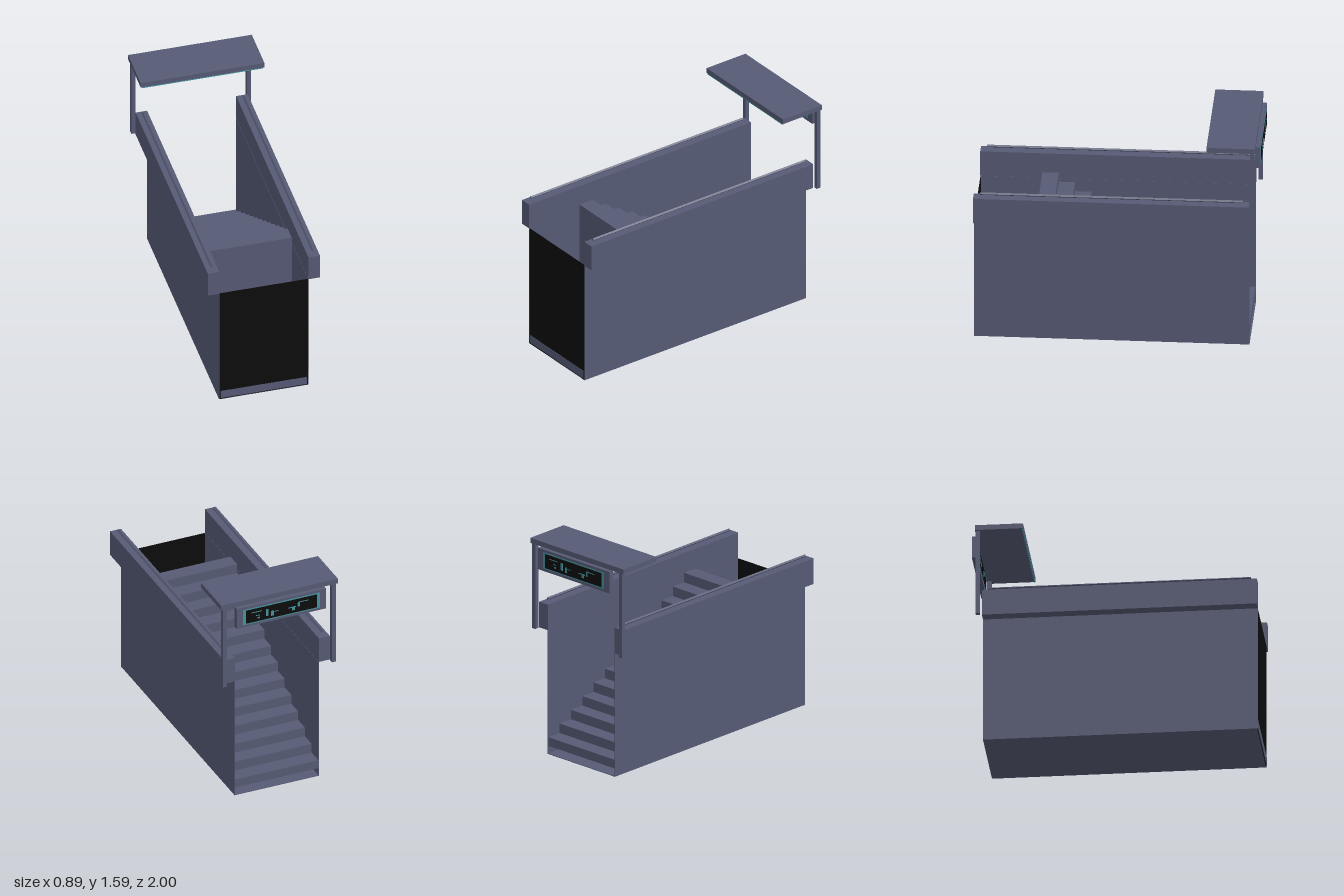
import * as THREE from 'three';

const grey = new THREE.MeshStandardMaterial({ name: 'slateGrey', color: 0x565a74, side: THREE.DoubleSide });
const black = new THREE.MeshStandardMaterial({ name: 'black', color: 0x0c0c0c, side: THREE.DoubleSide });
const teal = new THREE.MeshStandardMaterial({ name: 'teal', color: 0x46929e });

// box given by its minimum and maximum on each axis
function box(parent, name, material, x0, x1, y0, y1, z0, z1) {
  const mesh = new THREE.Mesh(new THREE.BoxGeometry(x1 - x0, y1 - y0, z1 - z0), material);
  mesh.position.set((x0 + x1) / 2, (y0 + y1) / 2, (z0 + z1) / 2);
  mesh.name = name;
  parent.add(mesh);
  return mesh;
}

function createStairs() {
  const steps = 13, run = 0.114, rise = 0.07, start = -0.915, bottom = 0.06;
  const end = start + steps * run;
  const shape = new THREE.Shape();
  shape.moveTo(start, bottom);
  for (let i = 0; i < steps; i++) {
    const y = 0.124 + i * rise;
    shape.lineTo(start + i * run, y);
    shape.lineTo(start + (i + 1) * run, y);
  }
  shape.lineTo(end, bottom);
  const geometry = new THREE.ExtrudeGeometry(shape, { depth: 0.636, bevelEnabled: false });
  // profile x becomes z, extrusion runs across x
  geometry.rotateY(-Math.PI / 2);
  geometry.translate(0.318, 0, 0);
  const mesh = new THREE.Mesh(geometry, grey);
  mesh.name = 'stairs';
  return mesh;
}

function createSign() {
  const sign = new THREE.Group();
  sign.name = 'sign';
  box(sign, 'signCase', grey, -0.34, 0.34, 1.39, 1.55, -0.994, -0.958);
  // abstract display marks: x, y, width, height
  const marks = [
    [-0.19, 1.495, 0.08, 0.006], [-0.18, 1.465, 0.03, 0.006], [-0.175, 1.445, 0.02, 0.012],
    [-0.11, 1.47, 0.018, 0.055], [-0.07, 1.455, 0.02, 0.04], [-0.04, 1.465, 0.03, 0.006],
    [0.09, 1.455, 0.025, 0.03], [0.08, 1.465, 0.06, 0.006], [0.13, 1.475, 0.015, 0.03],
    [0.165, 1.495, 0.08, 0.006],
  ];
  for (const [face, d] of [[-0.958, 1], [-0.994, -1]]) {
    const plate = (name, mat, x, y, w, h, level) =>
      box(sign, name, mat, x - w / 2, x + w / 2, y - h / 2, y + h / 2,
        Math.min(face, face + d * level), Math.max(face, face + d * level));
    plate('screenFrame', teal, 0, 1.47, 0.584, 0.122, 0.002);
    plate('screen', black, 0, 1.47, 0.54, 0.104, 0.004);
    for (const [x, y, w, h] of marks) plate('screenMark', teal, x * d, y, w, h, 0.0055);
  }
  return sign;
}

export function createModel() {
  const model = new THREE.Group();
  model.name = 'stairwellEntrance';

  // stairwell shaft
  box(model, 'floor', grey, -0.32, 0.32, 0, 0.004, -0.918, 0.998);
  box(model, 'lowerSlab', grey, -0.31, 0.31, 0.01, 0.07, -0.69, 1);
  box(model, 'endPanel', black, -0.32, 0.32, 0, 0.92, 0.994, 0.998);
  model.add(createStairs());

  for (const [s, side] of [[1, 'left'], [-1, 'right']]) {
    const sided = (name, a, b, ...rest) =>
      box(model, side + name, grey, Math.min(s * a, s * b), Math.max(s * a, s * b), ...rest);
    sided('Wall', 0.318, 0.322, 0, 0.92, -0.918, 0.998);
    sided('Parapet', 0.32, 0.403, 0.92, 1.11, -0.918, 1);
    sided('CanopyPost', 0.4, 0.43, 0.92, 1.55, -0.96, -0.93);
    // square handrail turned on its edge
    const rail = sided('Handrail', 0.356, 0.37, 1.126, 1.14, -0.876, 0.955);
    rail.rotation.z = Math.PI / 4;
  }

  // canopy and display
  box(model, 'canopyRoof', grey, -0.445, 0.445, 1.55, 1.587, -0.963, -0.627);
  box(model, 'canopyLightStrip', teal, -0.435, 0.435, 1.541, 1.55, -0.636, -0.628);
  model.add(createSign());

  return model;
}
